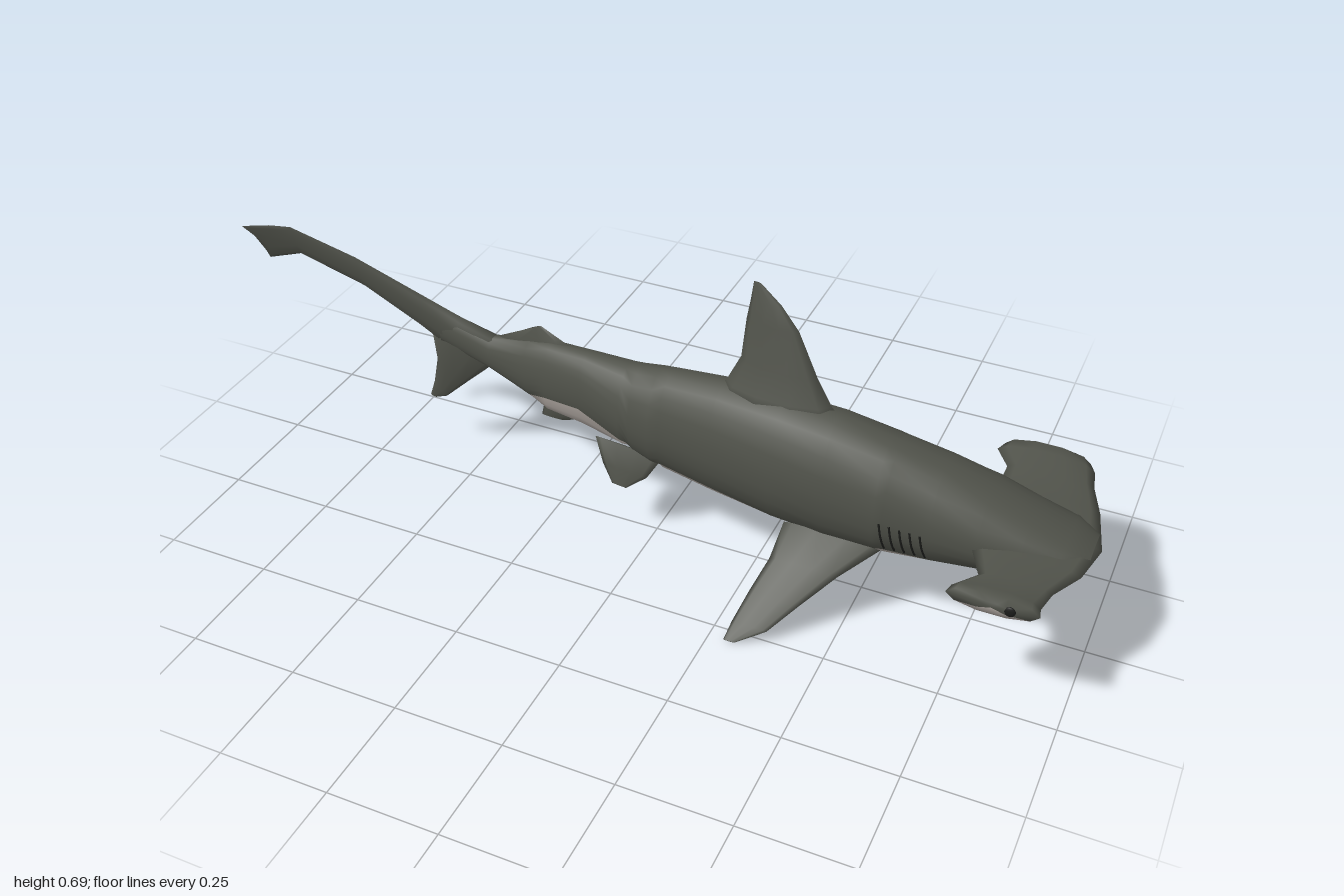
import * as THREE from 'three';

const material = (name, color) => Object.assign(new THREE.MeshStandardMaterial({ color }), { name });
const V = (x, y, z) => new THREE.Vector3(x, y, z);

// Body stations: x, centre z, half width, top y, bottom y, height of the belly colour line
const STATIONS = [
  [-0.60, -0.090, 0.016, 0.385, 0.310, 0.310],
  [-0.47, -0.097, 0.029, 0.355, 0.268, 0.268],
  [-0.36, -0.083, 0.040, 0.385, 0.235, 0.240],
  [-0.30, -0.075, 0.050, 0.396, 0.215, 0.270],
  [-0.20, -0.062, 0.060, 0.403, 0.215, 0.283],
  [-0.09, -0.048, 0.072, 0.410, 0.205, 0.240],
  [-0.06, -0.045, 0.075, 0.414, 0.198, 0.199],
  [-0.01, -0.040, 0.080, 0.424, 0.185, 0.187],
  [0.02, -0.036, 0.082, 0.430, 0.182, 0.215],
  [0.15, -0.020, 0.092, 0.450, 0.172, 0.205],
  [0.30, 0.000, 0.100, 0.462, 0.166, 0.190],
  [0.42, 0.003, 0.106, 0.456, 0.160, 0.175],
  [0.54, 0.005, 0.108, 0.435, 0.165, 0.180],
  [0.56, 0.005, 0.108, 0.430, 0.165, 0.205],
  [0.66, 0.000, 0.110, 0.405, 0.175, 0.202],
  [0.76, -0.003, 0.110, 0.375, 0.190, 0.212],
  [0.85, -0.005, 0.100, 0.340, 0.210, 0.235],
  [0.93, -0.005, 0.085, 0.310, 0.250, 0.262],
  [0.98, -0.005, 0.050, 0.287, 0.268, 0.270],
];

function stationAt(x) {
  let i = 0;
  while (i < STATIONS.length - 2 && STATIONS[i + 1][0] < x) i++;
  const a = STATIONS[i], b = STATIONS[i + 1], k = (x - a[0]) / (b[0] - a[0]);
  return a.map((v, n) => v + (b[n] - v) * k);
}

// Point on the skin; angle 0 is the +z side, PI / 2 the back ridge, -PI / 2 the belly
function skin(x, angle, lift = 0) {
  const [, cz, hw, top, bottom] = stationAt(x);
  const mid = bottom + 0.45 * (top - bottom);
  const c = Math.cos(angle), s = Math.sin(angle);
  const w = s < 0 ? Math.sign(c) * Math.pow(Math.abs(c), 0.75) : c;
  const h = s < 0 ? mid - bottom : top - mid;
  return V(x, mid + (h + lift) * s, cz + (hw + lift) * w);
}

// Closed skin through equal-sized rings, one material index per quad, ends capped
function loft(name, rings, mats, matOf = () => 0) {
  const n = rings[0].length, points = rings.flat(), lists = mats.map(() => []);
  const quad = (i, j) => {
    const a = i * n + j, b = i * n + (j + 1) % n;
    lists[matOf(i, j)].push(a, b, a + n, b, b + n, a + n);
  };
  for (let i = 0; i < rings.length - 1; i++) for (let j = 0; j < n; j++) quad(i, j);
  for (const i of [0, rings.length - 1]) {
    const centre = rings[i].reduce((s, p) => s.add(p), V(0, 0, 0)).divideScalar(n);
    const c = points.push(centre) - 1;
    for (let j = 0; j < n; j++) {
      const a = i * n + j, b = i * n + (j + 1) % n;
      lists[matOf(Math.min(i, rings.length - 2), j)].push(...(i ? [a, b, c] : [b, a, c]));
    }
  }
  // Turn every face outward
  let volume = 0;
  for (const l of lists) for (let k = 0; k < l.length; k += 3)
    volume += points[l[k]].dot(points[l[k + 1]].clone().cross(points[l[k + 2]]));
  if (volume < 0) for (const l of lists) for (let k = 0; k < l.length; k += 3) [l[k], l[k + 1]] = [l[k + 1], l[k]];

  const geo = new THREE.BufferGeometry().setFromPoints(points);
  geo.setIndex(lists.flat());
  let start = 0;
  lists.forEach((l, m) => { geo.addGroup(start, l.length, m); start += l.length; });
  geo.computeVertexNormals();
  const mesh = new THREE.Mesh(geo, mats);
  mesh.name = name;
  return mesh;
}

// Lens-shaped ring from leading point to trailing point, half thickness t along n
const SIDES = 10;
function lens([lx, ly, lz, tx, ty, tz, t], n) {
  const lead = V(lx, ly, lz), trail = V(tx, ty, tz);
  return Array.from({ length: SIDES }, (_, k) => {
    const a = (k / SIDES) * Math.PI * 2;
    return trail.clone().lerp(lead, 0.5 + 0.5 * Math.cos(a)).addScaledVector(n, t * Math.sin(a));
  });
}

export function createModel() {
  const shark = new THREE.Group();
  shark.name = 'hammerheadShark';
  const grey = material('darkGreySkin', 0x50524a);
  const pale = material('paleBelly', 0xb0a8a2);
  const red = material('redFlesh', 0x7c1f38);
  const black = material('blackDetail', 0x1c1d1b);
  const fin = (name, rows, n, mats = [grey], matOf) =>
    shark.add(loft(name, rows.map(r => lens(r, n.normalize())), mats, matOf));

  // Body: upper arc grey, lower arc pale, meeting on the belly line
  const UP = 18, LOW = 8;
  const rings = STATIONS.map(([x, , , top, bottom, line]) => {
    const mid = bottom + 0.45 * (top - bottom);
    const a0 = -Math.asin(Math.min(1, (mid - line) / (mid - bottom)));
    const ring = [];
    for (let k = 0; k < UP; k++) ring.push(skin(x, a0 + (Math.PI - 2 * a0) * k / UP));
    for (let k = 0; k < LOW; k++) ring.push(skin(x, Math.PI - a0 + (Math.PI + 2 * a0) * k / LOW));
    return ring;
  });
  shark.add(loft('body', rings, [grey, pale], (i, j) => (j < UP ? 0 : 1)));

  // Hammer: z, back x, front x, centre y, half thickness
  const hammer = [
    [-0.290, 0.80, 0.85, 0.285, 0.012], [-0.278, 0.72, 0.91, 0.283, 0.026],
    [-0.250, 0.71, 0.925, 0.283, 0.024], [-0.200, 0.745, 0.935, 0.280, 0.016],
    [-0.120, 0.745, 0.965, 0.279, 0.015], [0.000, 0.720, 0.995, 0.278, 0.016],
    [0.100, 0.750, 0.975, 0.279, 0.015], [0.175, 0.785, 0.935, 0.279, 0.015],
    [0.230, 0.745, 0.925, 0.282, 0.022], [0.255, 0.74, 0.93, 0.283, 0.026],
    [0.266, 0.80, 0.87, 0.284, 0.013],
  ].map(([z, b, f, y, t]) => [f, y, z, b, y, z, t]);
  fin('hammerHead', hammer, V(0, 1, 0), [grey, pale], (i, j) => (j > 5 && j < 9 ? 1 : 0));

  // Tail
  fin('upperTailLobe', [
    [-0.45, 0.355, -0.098, -0.48, 0.270, -0.098, 0.026],
    [-0.55, 0.385, -0.096, -0.58, 0.290, -0.094, 0.021],
    [-0.65, 0.428, -0.086, -0.66, 0.345, -0.084, 0.015],
    [-0.80, 0.512, -0.050, -0.78, 0.440, -0.050, 0.011],
    [-0.92, 0.600, 0.020, -0.90, 0.535, 0.018, 0.007],
    [-0.955, 0.612, 0.050, -0.96, 0.530, 0.055, 0.005],
    [-1.00, 0.620, 0.090, -0.97, 0.585, 0.070, 0.002],
  ], V(0.2, 0, 1));
  fin('lowerTailLobe', [
    [-0.46, 0.285, -0.096, -0.63, 0.330, -0.090, 0.018],
    [-0.55, 0.200, -0.096, -0.625, 0.250, -0.094, 0.011],
    [-0.61, 0.142, -0.098, -0.64, 0.180, -0.096, 0.006],
    [-0.64, 0.130, -0.098, -0.656, 0.134, -0.098, 0.002],
  ], V(0, 0, 1));

  // Fins on the back and under the tail
  fin('firstDorsalFin', [
    [0.44, 0.420, 0.000, 0.12, 0.410, -0.020, 0.055],
    [0.40, 0.462, -0.005, 0.155, 0.455, -0.020, 0.040],
    [0.36, 0.520, -0.015, 0.185, 0.520, -0.025, 0.024],
    [0.31, 0.610, -0.030, 0.190, 0.610, -0.036, 0.013],
    [0.265, 0.655, -0.042, 0.195, 0.655, -0.044, 0.007],
    [0.215, 0.692, -0.050, 0.198, 0.694, -0.050, 0.002],
  ], V(0, 0, 1));
  fin('secondDorsalFin', [
    [-0.20, 0.380, -0.065, -0.42, 0.345, -0.090, 0.016],
    [-0.27, 0.405, -0.074, -0.45, 0.362, -0.094, 0.010],
    [-0.33, 0.426, -0.083, -0.37, 0.405, -0.087, 0.004],
  ], V(0, 0, 1));
  fin('analFin', [
    [-0.20, 0.235, -0.062, -0.32, 0.240, -0.076, 0.013],
    [-0.23, 0.205, -0.066, -0.33, 0.205, -0.078, 0.008],
    [-0.27, 0.187, -0.070, -0.335, 0.182, -0.078, 0.003],
  ], V(0, 0, 1));

  for (const s of [1, -1]) {
    const side = s > 0 ? 'left' : 'right';

    // Pelvic fins
    const pz = k => -0.045 + s * k;
    fin(side + 'PelvicFin', [
      [0.01, 0.205, pz(0.040), -0.16, 0.215, pz(0.035), 0.014],
      [-0.02, 0.155, pz(0.060), -0.13, 0.165, pz(0.060), 0.008],
      [-0.065, 0.122, pz(0.075), -0.10, 0.126, pz(0.075), 0.003],
    ], V(0, 0.6, 0.8 * s));

    // Pectoral fins: dark above and at the tip, pale below
    const tip = s > 0 ? 0.285 : -0.232;
    const pectoral = [
      [0, 0.555, 0.33, 0.178, 0.016], [0.3, 0.48, 0.325, 0.125, 0.012], [0.6, 0.42, 0.305, 0.075, 0.008],
      [0.85, 0.37, 0.290, 0.030, 0.005], [1, 0.31, 0.285, 0.004, 0.002],
    ].map(([f, lead, trail, y, t]) => {
      const z = THREE.MathUtils.lerp(0.06 * s, tip, f);
      return [lead, y, z, trail, y, z, t];
    });
    fin(side + 'PectoralFin', pectoral, V(0, 0.83, 0.55 * s), [grey, pale], (i, j) => (i < 2 && j >= 5 ? 1 : 0));

    // Gill slits
    const turn = a => (s > 0 ? a : Math.PI - a);
    for (let g = 0; g < 5; g++) {
      const x = 0.555 + g * 0.022;
      const path = new THREE.CatmullRomCurve3([0.02, -0.2, -0.42, -0.64].map((a, k) => skin(x + 0.004 * k, turn(a))));
      const slit = new THREE.Mesh(new THREE.TubeGeometry(path, 8, 0.0025, 5), black);
      slit.name = side + 'GillSlit';
      shark.add(slit);
    }

    // Eyes on the ends of the hammer
    const eye = new THREE.Mesh(new THREE.SphereGeometry(0.012, 12, 8), black);
    eye.name = side + 'Eye';
    eye.scale.z = 0.4;
    eye.position.set(0.872, 0.285, s > 0 ? 0.264 : -0.285);
    shark.add(eye);
  }

  // Mouth line under the head
  const lip = [-2.3, -2.0, -1.57, -1.14, -0.84].map(a => skin(0.72 + 0.1 * Math.pow(-Math.sin(a), 3), a));
  const mouth = new THREE.Mesh(new THREE.TubeGeometry(new THREE.CatmullRomCurve3(lip), 20, 0.003, 5), black);
  mouth.name = 'mouth';
  shark.add(mouth);

  // Red flesh above the right pectoral fin, a thin plate following the skin
  const wound = [[0.31, 0.72, 0.95], [0.36, 0.48, 1.0], [0.42, 0.42, 1.0], [0.48, 0.42, 0.95], [0.53, 0.55, 0.75]];
  const plate = wound.map(([x, a, b]) => [
    ...[0, 0.5, 1].map(k => skin(x, Math.PI + a + (b - a) * k, 0.005)),
    ...[1, 0.5, 0].map(k => skin(x, Math.PI + a + (b - a) * k, -0.003)),
  ]);
  shark.add(loft('redFlesh', plate, [red]));

  return shark;
}
